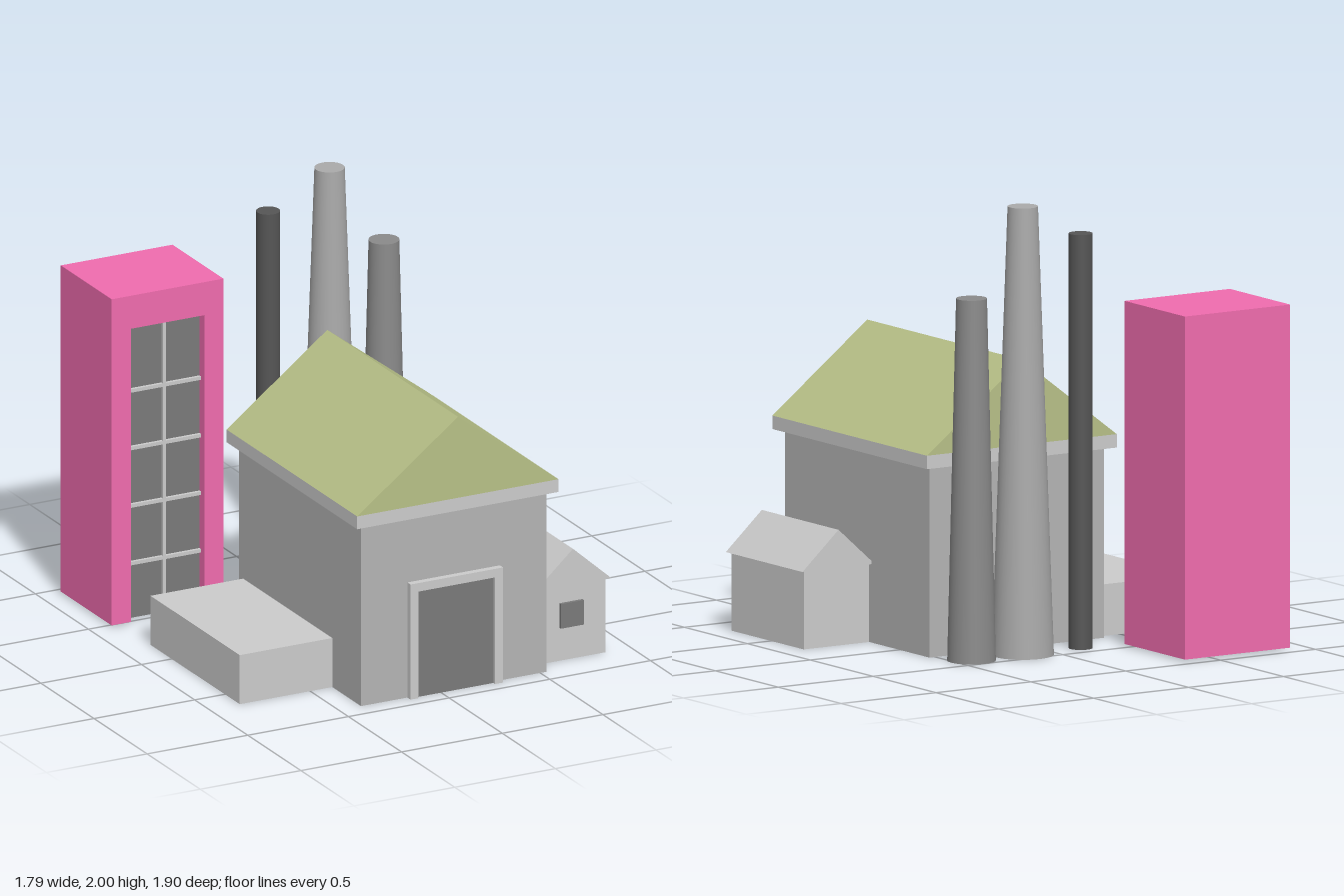
import * as THREE from 'three';

const mat = (color) => new THREE.MeshStandardMaterial({ color });

export function createModel() {
  const model = new THREE.Group();
  const grey = mat(0xcccccc), wall = mat(0xb4b4b4), dark = mat(0x7a7a7a);
  const pink = mat(0xf06cae), olive = mat(0xb7c087);

  const add = (name, geometry, material, parent = model) => {
    const mesh = new THREE.Mesh(geometry, material);
    mesh.name = name;
    parent.add(mesh);
    return mesh;
  };
  const group = (name) => {
    const g = new THREE.Group();
    g.name = name;
    model.add(g);
    return g;
  };
  // Box given by its limits on each axis
  const box = (name, [x0, x1], [y0, y1], [z0, z1], material, parent) =>
    add(name, new THREE.BoxGeometry(x1 - x0, y1 - y0, z1 - z0)
      .translate((x0 + x1) / 2, (y0 + y1) / 2, (z0 + z1) / 2), material, parent);
  // Outline in x and y, extruded from z0 to z1
  const prism = (name, points, [z0, z1], material, parent) =>
    add(name, new THREE.ExtrudeGeometry(
      new THREE.Shape(points.map(([x, y]) => new THREE.Vector2(x, y))),
      { depth: z1 - z0, bevelEnabled: false }).translate(0, 0, z0), material, parent);
  // Upside-down U standing on the ground, around an opening
  const arch = (name, [x0, x1], [i0, i1], base, top, innerTop, z, material, parent) =>
    prism(name, [[x0, base], [i0, base], [i0, innerTop], [i1, innerTop],
      [i1, base], [x1, base], [x1, top], [x0, top]], z, material, parent);

  // Main hall with eaves, gable roof and gate
  const hall = group('mainHall');
  box('hallWalls', [-0.39, 0.53], [0, 0.85], [-0.24, 0.91], wall, hall);
  box('eaves', [-0.43, 0.57], [0.85, 0.91], [-0.28, 0.95], grey, hall);
  prism('hallRoof', [[-0.43, 0.91], [0.57, 0.91], [0.07, 1.29]], [-0.28, 0.95], olive, hall);
  arch('gateFrame', [-0.16, 0.3], [-0.12, 0.26], 0, 0.54, 0.5, [0.9, 0.94], grey, hall);
  box('gate', [-0.12, 0.26], [0, 0.5], [0.9, 0.925], dark, hall);

  // Low annex beside the hall
  box('annex', [-0.85, -0.39], [0, 0.23], [-0.2, 0.64], grey);

  // Small shed with its own gable roof
  const shed = group('shed');
  box('shedWalls', [0.53, 0.875], [0, 0.35], [0.24, 0.815], grey, shed);
  prism('shedRoof', [[0.515, 0.35], [0.895, 0.35], [0.705, 0.52]], [0.22, 0.83], grey, shed);
  box('shedWindow', [0.645, 0.76], [0.155, 0.27], [0.8, 0.83], dark, shed);

  // Tower with a tall recessed window
  const tower = group('tower');
  box('towerBody', [-0.9, -0.345], [0.01, 1.54], [-0.95, -0.56], pink, tower);
  arch('towerFront', [-0.9, -0.345], [-0.805, -0.44], 0.01, 1.54, 1.385, [-0.56, -0.47], pink, tower);
  box('towerGlass', [-0.805, -0.44], [0.01, 1.385], [-0.56, -0.515], dark, tower);
  box('mullion', [-0.63, -0.614], [0.01, 1.385], [-0.52, -0.5], grey, tower);
  for (let i = 1; i <= 4; i++) {
    const y = 0.27 * i;
    box('windowBar' + i, [-0.805, -0.44], [y - 0.008, y + 0.008], [-0.52, -0.5], grey, tower);
  }

  // Three chimneys behind the hall: x, top radius, bottom radius, height, colour
  const chimneys = [
    ['thinChimney', -0.16, 0.053, 0.053, 1.85, 0x555555],
    ['tallChimney', 0.145, 0.067, 0.137, 2, 0xaaaaaa],
    ['shortChimney', 0.415, 0.068, 0.107, 1.615, 0x8a8a8a],
  ];
  for (const [name, x, top, bottom, height, color] of chimneys)
    add(name, new THREE.CylinderGeometry(top, bottom, height, 32), mat(color))
      .position.set(x, height / 2, -0.4);

  return model;
}
